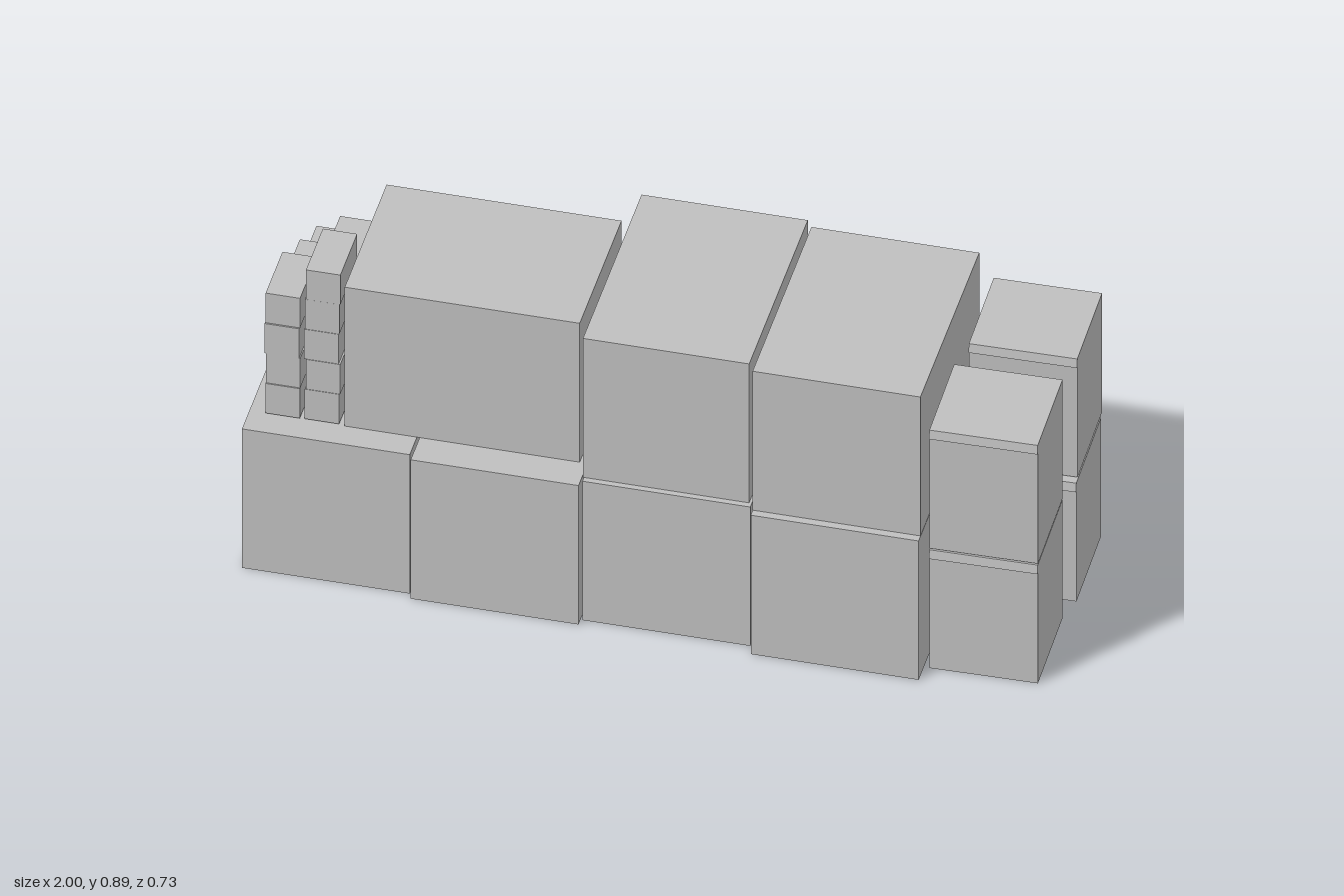
import * as THREE from 'three';

export function createModel() {
  const model = new THREE.Group();
  const grey = new THREE.MeshStandardMaterial({ color: 0xbfbfbf });
  grey.name = 'light grey';

  const add = (name, geometry, x, y, z, parent = model) => {
    const mesh = new THREE.Mesh(geometry, grey);
    mesh.name = name;
    mesh.position.set(x, y, z);
    parent.add(mesh);
    return mesh;
  };

  // Small seeded jitter, so stacked boxes sit slightly out of line
  let seed = 7;
  const jitter = (amount) => {
    seed = (seed * 16807) % 2147483647;
    return (seed / 2147483647 - 0.5) * 2 * amount;
  };

  // Large crates: [x min, x max, layer, z min, z max]
  const crateHeight = 0.427;
  const crates = [
    [-1.0, -0.58, 0, -0.253, 0.335],
    [-0.573, -0.153, 0, -0.232, 0.354],
    [-0.148, 0.272, 0, -0.253, 0.335],
    [0.281, 0.701, 0, -0.222, 0.366],
    [-0.76, -0.172, 1, -0.152, 0.266],
    [-0.15, 0.266, 1, -0.264, 0.322],
    [0.281, 0.701, 1, -0.24, 0.348],
  ];
  for (const [x0, x1, layer, z0, z1] of crates) {
    const box = new THREE.BoxGeometry(x1 - x0, crateHeight, z1 - z0);
    add('largeCrate', box, (x0 + x1) / 2, crateHeight / 2 + layer * (crateHeight + 0.002), (z0 + z1) / 2);
  }

  // Medium cartons with a flap folded over the top of the front face
  const w = 0.27, h = 0.365, d = 0.265;
  const profile = new THREE.Shape([
    [-d / 2, 0], [d / 2, 0], [d / 2, h - 0.027], [d / 2 + 0.006, h - 0.025],
    [d / 2 + 0.002, h], [-d / 2, h],
  ].map(([z, y]) => new THREE.Vector2(z, y)));
  const cartonGeometry = new THREE.ExtrudeGeometry(profile, { depth: w, bevelEnabled: false });
  cartonGeometry.translate(0, 0, -w / 2).rotateY(-Math.PI / 2);
  const cartons = [
    [0.848, 0, 0.179], [0.848, 0.368, 0.179],
    [0.86, 0, -0.158], [0.858, 0.368, -0.176],
  ];
  for (const [x, y, z] of cartons) add('flapCarton', cartonGeometry, x, y, z).rotation.y = 0.018;

  // Stacks of small boxes
  const smallHeight = 0.092;
  const stack = (name, x, y, z, width, depth, count) => {
    const group = new THREE.Group();
    group.name = name;
    const geometry = new THREE.BoxGeometry(width, smallHeight - 0.001, depth);
    for (let i = 0; i < count; i++) {
      add('smallBox', geometry, x + jitter(0.003), y + (i + 0.5) * smallHeight, z + jitter(0.002), group);
    }
    model.add(group);
  };

  // Stepped columns on the end crate: counts run from back to front
  [[-0.917, [2, 3, 4]], [-0.817, [2, 4, 5]]].forEach(([x, counts]) => {
    counts.forEach((count, row) => stack('steppedStack', x, 0.43, -0.17 + row * 0.175, 0.086, 0.168, count));
  });

  // Loose boxes on the ground behind
  stack('groundStack', -0.682, 0, -0.323, 0.167, 0.086, 1);
  stack('groundStack', -0.483, 0, -0.286, 0.168, 0.086, 2);
  stack('groundStack', -0.297, 0, -0.286, 0.168, 0.086, 2);

  return model;
}
